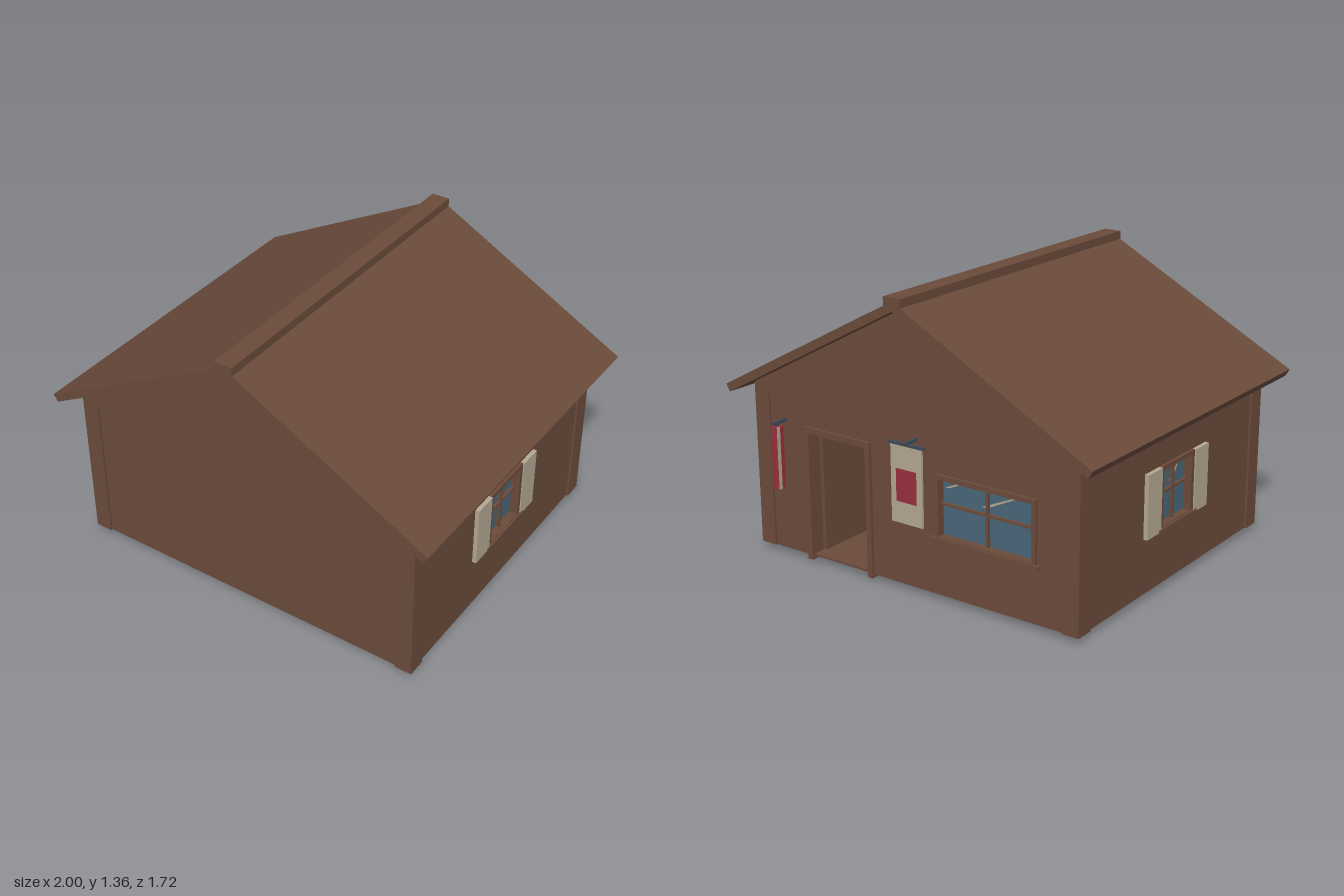
import * as THREE from 'three';

const mat = (name, color, side = THREE.FrontSide) => {
  const m = new THREE.MeshStandardMaterial({ color, side });
  m.name = name;
  return m;
};

export function createModel() {
  const wood = mat('brown wood', 0x6b4b3b);
  const cream = mat('cream', 0xb4a892);
  const red = mat('red cloth', 0x99303d);
  const glass = mat('window glass', 0x4a6779);
  const iron = mat('slate iron', 0x3e4a55);

  const house = new THREE.Group();
  house.name = 'house';

  const add = (parent, name, geo, m) => {
    const mesh = new THREE.Mesh(geo, m);
    mesh.name = name;
    parent.add(mesh);
    return mesh;
  };
  // Box given by its limits on each axis
  const box = (parent, name, m, x0, x1, y0, y1, z0, z1) => {
    const mesh = add(parent, name, new THREE.BoxGeometry(x1 - x0, y1 - y0, z1 - z0), m);
    mesh.position.set((x0 + x1) / 2, (y0 + y1) / 2, (z0 + z1) / 2);
    return mesh;
  };
  const polygon = (pts) => new THREE.Shape(pts.map(([x, y]) => new THREE.Vector2(x, y)));
  const rect = (x0, x1, y0, y1) => polygon([[x0, y0], [x1, y0], [x1, y1], [x0, y1]]);
  const extrude = (shape, depth) => new THREE.ExtrudeGeometry(shape, { depth, bevelEnabled: false });

  // A wall group: local +z points outdoors and z = 0 is the outer surface
  const makeWall = (name, half, outline, holes, angle, dist) => {
    const g = new THREE.Group();
    g.name = name;
    const shape = polygon(outline || [[-half, 0.03], [half, 0.03], [half, 0.8], [-half, 0.8]]);
    holes.forEach((h) => shape.holes.push(rect(...h)));
    add(g, name + 'Panel', extrude(shape, 0.05), wood).position.z = -0.05;
    g.rotation.y = angle;
    g.position.set(Math.sin(angle) * dist, 0, Math.cos(angle) * dist);
    house.add(g);
    return g;
  };

  // Framed window with sill, crossbars and pale glints on the glass
  const Y0 = 0.3, Y1 = 0.595, F = 0.022;
  const makeWindow = (wall, cx, half) => {
    const g = new THREE.Group();
    g.name = 'window';
    g.position.x = cx;
    wall.add(g);
    const frame = rect(-half, half, Y0, Y1);
    frame.holes.push(rect(-half + F, half - F, Y0 + F / 2, Y1 - F));
    add(g, 'windowFrame', extrude(frame, 0.055), wood).position.z = -0.04;
    box(g, 'windowSill', wood, -half - 0.02, half + 0.02, 0.29, 0.306, -0.02, 0.025);
    box(g, 'windowGlass', glass, -half + F, half - F, Y0, Y1 - F, -0.032, -0.024);
    box(g, 'verticalBar', wood, -0.006, 0.006, Y0, Y1 - F, -0.024, -0.008);
    box(g, 'horizontalBar', wood, -half + F, half - F, 0.45, 0.462, -0.024, -0.009);
    const w = half - F;
    [[-0.95, 0.53, 0.022], [-0.15, 0.485, 0.03]].forEach(([k, y, t]) => {
      const x = k * w, l = 0.75 * w;
      const glint = polygon([[x, y], [x + t, y], [x + l, y + 0.075], [x + l - t * 0.5, y + 0.075]]);
      add(g, 'glassGlint', new THREE.ShapeGeometry(glint), cream).position.z = -0.022;
    });
    return g;
  };

  // Footing ring and floor
  const ring = rect(-0.81, 0.81, -0.69, 0.69);
  ring.holes.push(rect(-0.79, 0.79, -0.67, 0.67));
  const footing = add(house, 'footing', extrude(ring, 0.03), wood);
  footing.rotation.x = -Math.PI / 2;
  box(house, 'floor', wood, -0.884, 0.884, 0.03, 0.04, -0.768, 0.768);

  // Corner posts, eave beams and gables
  for (const sx of [-1, 1]) {
    for (const sz of [-1, 1]) {
      const post = add(house, 'cornerPost', new THREE.BoxGeometry(0.085, 0.75, 0.09), wood);
      post.position.set(sx * 0.8525, 0.405, sz * 0.735);
    }
    const beam = add(house, 'eaveBeam', new THREE.BoxGeometry(0.06, 0.04, 1.44), wood);
    beam.position.set(sx * 0.865, 0.8, 0);
  }
  const gable = polygon([[-0.895, 0.78], [0.895, 0.78], [0.895, 0.822], [0, 1.3], [-0.895, 0.822]]);
  add(house, 'frontGable', extrude(gable, 0.06), wood).position.z = 0.72;
  add(house, 'backGable', extrude(gable, 0.06), wood).position.z = -0.78;

  // Roof slabs with ridge cap
  const roof = polygon([
    [-0.98, 0.775], [0, 1.3], [0.98, 0.775], [1, 0.81], [0, 1.344], [-1, 0.81],
  ]);
  add(house, 'roof', extrude(roof, 1.714), wood).position.z = -0.857;
  box(house, 'ridgeCap', wood, -0.045, 0.045, 1.315, 1.36, -0.8585, 0.8585);

  // Front wall, plain
  makeWall('frontWall', 0.85, null, [], 0, 0.77);

  // Side walls with shuttered windows
  for (const s of [-1, 1]) {
    const wall = makeWall(s > 0 ? 'leftWall' : 'rightWall', 0.75, null,
      [[-0.13, 0.13, 0.305, 0.585]], s * Math.PI / 2, 0.885);
    makeWindow(wall, 0, 0.143);
    for (const k of [-1, 1]) {
      const shutter = add(wall, 'shutter', new THREE.BoxGeometry(0.118, 0.3, 0.02), cream);
      shutter.position.set(k * 0.203, 0.443, 0.01);
    }
  }

  // Back wall with doorway and wide window
  const D0 = -0.6, D1 = -0.21, T = 0.028;
  const back = makeWall('backWall', 0.85,
    [[-0.85, 0.03], [D0 + 0.02, 0.03], [D0 + 0.02, 0.64], [D1 - 0.02, 0.64], [D1 - 0.02, 0.03],
      [0.85, 0.03], [0.85, 0.8], [-0.85, 0.8]],
    [[0.165, 0.665, 0.305, 0.585]], Math.PI, 0.77);
  makeWindow(back, 0.415, 0.265);

  // Door frame and inward-opened leaf
  const doorFrame = polygon([[D0, 0.015], [D0 + T, 0.015], [D0 + T, 0.66 - T], [D1 - T, 0.66 - T],
    [D1 - T, 0.015], [D1, 0.015], [D1, 0.66], [D0, 0.66]]);
  add(back, 'doorFrame', extrude(doorFrame, 0.085), wood).position.z = -0.07;
  box(back, 'doorLeaf', wood, D0 + T, D0 + T + 0.02, 0.045, 0.63, -0.4, -0.06);

  // Hanging sign with red panel
  const sign = new THREE.Group();
  sign.name = 'hangingSign';
  sign.position.x = 0.045;
  back.add(sign);
  box(sign, 'signArm', iron, -0.008, 0.008, 0.718, 0.731, -0.01, 0.085);
  box(sign, 'signRod', iron, -0.1, 0.1, 0.712, 0.724, 0.058, 0.072);
  box(sign, 'signCloth', cream, -0.085, 0.085, 0.355, 0.715, 0.06, 0.07);
  box(sign, 'signPanel', red, -0.055, 0.055, 0.455, 0.605, 0.068, 0.073);
  box(sign, 'signPanelInner', red, -0.055, 0.055, 0.455, 0.605, 0.057, 0.062);

  // Narrow red banner on an arm
  const banner = new THREE.Group();
  banner.name = 'banner';
  banner.position.x = -0.72;
  back.add(banner);
  box(banner, 'bannerArm', iron, -0.008, 0.008, 0.66, 0.673, -0.01, 0.085);
  box(banner, 'bannerHook', iron, -0.006, 0.006, 0.64, 0.665, 0.052, 0.064);
  box(banner, 'bannerCloth', red, -0.018, 0.018, 0.352, 0.65, 0.035, 0.08);
  box(banner, 'bannerStripe', cream, 0.016, 0.021, 0.352, 0.65, 0.06, 0.078);

  return house;
}
